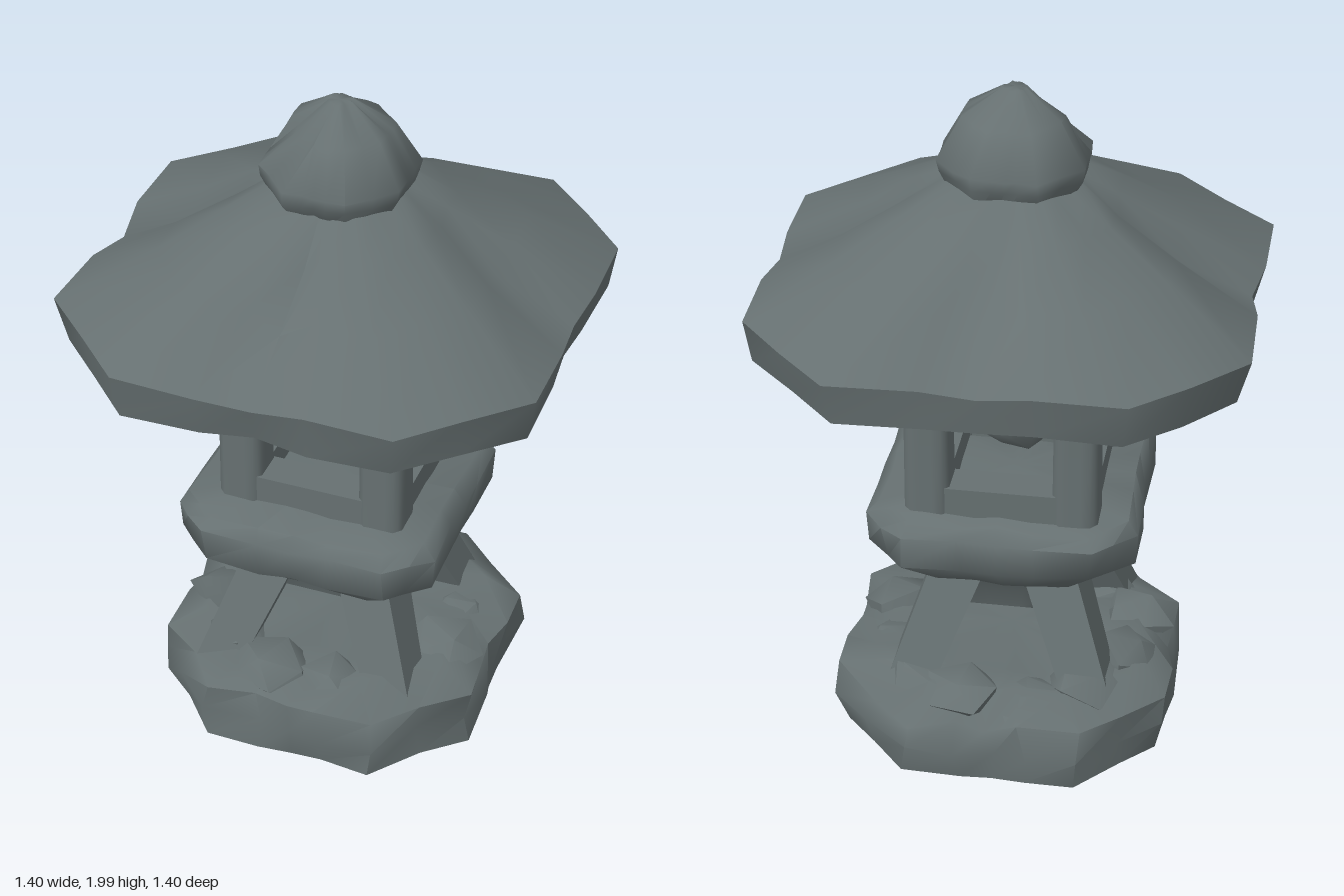
import * as THREE from 'three';
import { mergeVertices, toCreasedNormals } from 'three/addons/utils/BufferGeometryUtils.js';

export function createModel() {
  const model = new THREE.Group();
  model.name = 'stoneLantern';
  const stone = new THREE.MeshStandardMaterial({ color: 0x667071 });
  stone.name = 'grey stone';

  // Small seeded generator for the rough stone surfaces, -1 to 1
  let seed = 7;
  const rough = () => {
    seed = (seed * 16807) % 2147483647;
    return (seed / 2147483647) * 2 - 1;
  };

  const add = (name, geometry, parent = model) => {
    const mesh = new THREE.Mesh(geometry, stone);
    mesh.name = name;
    parent.add(mesh);
    return mesh;
  };

  // Chamfered square outline: h = half width, k = half length of the straight side
  const outline = (h, k) => {
    const pts = [];
    for (let q = 0; q < 4; q++) {
      const c = Math.round(Math.cos(q * Math.PI / 2)), s = Math.round(Math.sin(q * Math.PI / 2));
      const m = (h + k) / 2;
      const side = [[h, -k], [h, -k * 0.38], [h, 0], [h, k * 0.38], [h, k], [m, m]];
      side.forEach(([x, z], i) => pts.push({ x: x * c - z * s, z: x * s + z * c, mid: i === 2, side: q }));
    }
    return pts;
  };

  // Loft through outlines from bottom to top; rings are [half, straightHalf, y]
  const loft = (rings, { cz = 0, jitter = 0, rule = null, crease = 0.95 } = {}) => {
    const pos = [], index = [], n = 24;
    rings.forEach(([h, k, y], r) => outline(h, k).forEach((p) => {
      const v = new THREE.Vector3(p.x, y, p.z);
      if (rule) rule(v, p, r);
      const bottom = r === 0 ? 0 : 1;
      pos.push(v.x + rough() * jitter, v.y + rough() * jitter * bottom, v.z + cz + rough() * jitter);
    }));
    const last = (rings.length - 1) * n;
    for (let r = 0; r < rings.length - 1; r++) for (let i = 0; i < n; i++) {
      const a = r * n + i, b = r * n + (i + 1) % n;
      index.push(a, a + n, b, b, a + n, b + n);
    }
    pos.push(0, rings[0][2], cz, 0, rings[rings.length - 1][2], cz);
    const c = rings.length * n;
    for (let i = 0; i < n; i++) {
      const j = (i + 1) % n;
      index.push(c, i, j, c + 1, last + j, last + i);
    }
    const g = new THREE.BufferGeometry();
    g.setAttribute('position', new THREE.Float32BufferAttribute(pos, 3));
    g.setIndex(index);
    return toCreasedNormals(g, crease);
  };

  // Irregular rounded stone
  const boulder = (sx, sy, sz, detail, amount) => {
    let g = new THREE.IcosahedronGeometry(1, detail);
    g.deleteAttribute('normal');
    g.deleteAttribute('uv');
    g = mergeVertices(g, 1e-3);
    const p = g.attributes.position;
    for (let i = 0; i < p.count; i++) {
      const s = 1 + rough() * amount;
      p.setXYZ(i, p.getX(i) * s * sx, p.getY(i) * s * sy, p.getZ(i) * s * sz);
    }
    return toCreasedNormals(g, 0.8);
  };

  // Rocky foot
  add('baseSlab', loft([
    [0.48, 0.25, 0.01], [0.49, 0.26, 0.1], [0.48, 0.25, 0.19], [0.38, 0.2, 0.25], [0.24, 0.13, 0.24],
  ], { cz: -0.02, jitter: 0.018 }));
  const rocks = new THREE.Group();
  rocks.name = 'baseRocks';
  model.add(rocks);
  for (let i = 0; i < 12; i++) {
    const a = (i + 0.5) * Math.PI / 6;
    const rock = add('rock', boulder(0.11, 0.075, 0.12, 0, 0.22), rocks);
    rock.position.set(Math.cos(a) * 0.36, 0.205 + rough() * 0.02, Math.sin(a) * 0.36 - 0.02);
    rock.rotation.y = -a + rough() * 0.4;
  }

  // Four splayed legs
  for (const sx of [1, -1]) for (const sz of [1, -1]) {
    const g = new THREE.BoxGeometry(1, 1, 1);
    const p = g.attributes.position;
    for (let i = 0; i < p.count; i++) {
      const top = p.getY(i) > 0;
      const inner = top ? 0.06 : 0.2, outer = top ? 0.22 : 0.34;
      const place = (v, s) => s * (v * s > 0 ? outer : inner);
      p.setXYZ(i, place(p.getX(i), sx), top ? 0.54 : 0.19, place(p.getZ(i), sz));
    }
    g.deleteAttribute('normal');
    g.deleteAttribute('uv');
    add('leg', toCreasedNormals(mergeVertices(g), 0.9));
  }
  add('legTop', loft([[0.17, 0.12, 0.4], [0.2, 0.15, 0.48], [0.25, 0.18, 0.56]]));

  // Platform with sloped underside
  add('platform', loft([
    [0.22, 0.16, 0.52], [0.28, 0.2, 0.54], [0.385, 0.27, 0.64], [0.39, 0.28, 0.74], [0.36, 0.26, 0.775],
  ], { cz: 0.03, jitter: 0.008 }));

  // Light chamber: corner posts and the beams between them
  const chamber = new THREE.Group();
  chamber.name = 'lightChamber';
  model.add(chamber);
  for (const sx of [1, -1]) for (const sz of [1, -1]) {
    const post = add('post', loft([[0.066, 0.045, 0.76], [0.064, 0.045, 1.03], [0.066, 0.045, 1.34]]), chamber);
    post.position.set(sx * 0.214, 0, sz * 0.212);
  }
  for (let q = 0; q < 4; q++) {
    const wall = new THREE.Group();
    wall.name = 'windowFrame';
    wall.rotation.y = q * Math.PI / 2;
    chamber.add(wall);
    for (const [y, h] of [[0.81, 0.1], [1.245, 0.17]]) {
      add('beam', new THREE.BoxGeometry(0.34, h, 0.11), wall).position.set(0, y, 0.215);
    }
  }
  add('fireStone', boulder(0.135, 0.15, 0.135, 1, 0.12), chamber).position.set(-0.01, 1.01, 0);

  // Roof with a shallow valley down the middle of each side
  const valley = [0, 0.01, 0.02, 0.06, 0.045, 0];
  add('roof', loft([
    [0.3, 0.18, 1.33], [0.67, 0.39, 1.3], [0.695, 0.4, 1.43], [0.46, 0.26, 1.565], [0.29, 0.16, 1.67], [0.18, 0.1, 1.74],
  ], {
    jitter: 0.007,
    crease: 1.05,
    rule: (v, p, r) => {
      if (!p.mid) return;
      v.y -= r > 1 ? valley[r] * (p.side === 0 ? 0.5 : 1) : 0;
      if (r === 1 || r === 2) { v.x *= 0.97; v.z *= 0.97; }
    },
  }));

  // Bud-shaped finial with a chipped front left shoulder
  add('finial', loft([
    [0.16, 0.08, 1.69], [0.2, 0.09, 1.765], [0.205, 0.09, 1.8], [0.14, 0.06, 1.92], [0.03, 0.013, 1.995],
  ], {
    cz: 0.015,
    jitter: 0.004,
    crease: 1.1,
    rule: (v, p, r) => {
      if (r === 3 && p.x < -0.05 && p.z > 0.02) { v.x *= 0.8; v.z *= 0.8; v.y -= 0.02; }
    },
  }));

  return model;
}
